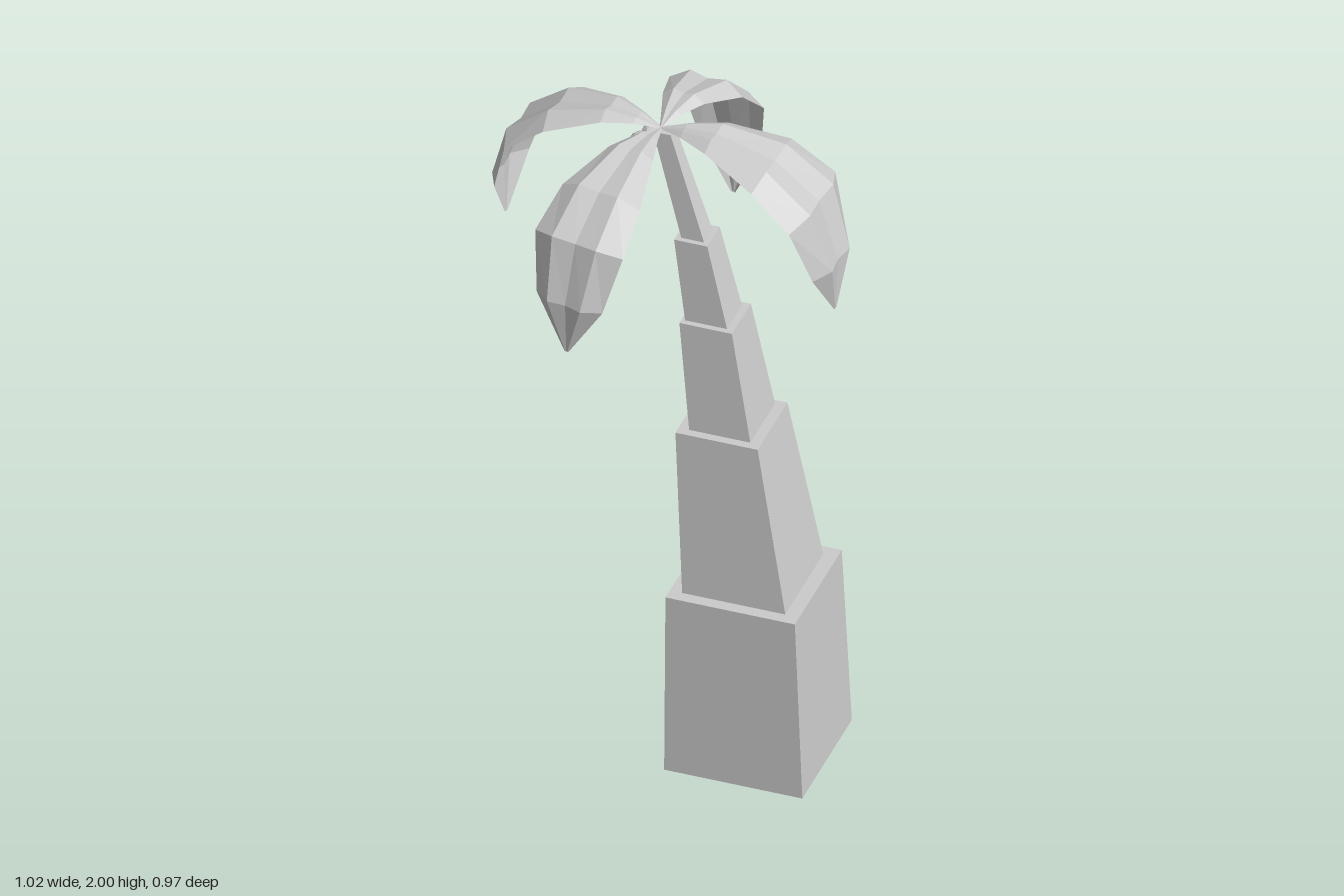
import * as THREE from 'three';

const material = new THREE.MeshStandardMaterial({ color: 0xcccccc, flatShading: true });
const leafMaterial = new THREE.MeshStandardMaterial({ color: 0xcccccc, flatShading: true, side: THREE.DoubleSide });
const CROWN = new THREE.Vector3(-0.02, 1.965, -0.03);

// Tapered block between two rectangles, each [y, xMin, xMax, zMin, zMax]
function trunkBlock(bottom, top) {
  const geometry = new THREE.BoxGeometry(1, 1, 1);
  const p = geometry.attributes.position;
  for (let i = 0; i < p.count; i++) {
    const [y, x0, x1, z0, z1] = p.getY(i) > 0 ? top : bottom;
    p.setXYZ(i, p.getX(i) > 0 ? x1 : x0, y, p.getZ(i) > 0 ? z1 : z0);
  }
  geometry.computeVertexNormals();
  return new THREE.Mesh(geometry, material);
}

// Leaf stations: distance from crown, height above crown, relative half width
const STATIONS = [
  [0, 0, 0.03], [0.07, 0.02, 0.24], [0.16, 0.03, 0.5], [0.33, -0.01, 0.88],
  [0.46, -0.11, 1], [0.515, -0.29, 0.75], [0.5, -0.45, 0.05],
];
// Across the leaf: side position and offset from the spine (drooping edges, shallow midrib)
const ACROSS = [[-1, -0.034], [-0.5, 0], [0, -0.01], [0.5, 0], [1, -0.034]];

function leaf({ angle, width, reach, drop }) {
  const spine = STATIONS.map(([r, h]) => new THREE.Vector2(r * reach, h < 0 ? h * drop : h));
  const positions = [], index = [];
  const n = ACROSS.length;
  STATIONS.forEach(([, , w], i) => {
    const a = spine[Math.max(i - 1, 0)], b = spine[Math.min(i + 1, spine.length - 1)];
    const t = b.clone().sub(a).normalize();
    const depth = Math.min(1, w * 1.3);
    for (const [side, offset] of ACROSS) {
      positions.push(spine[i].x - t.y * offset * depth, spine[i].y + t.x * offset * depth, side * w * width);
    }
    if (i === 0) return;
    for (let j = 0; j < n - 1; j++) {
      const p = (i - 1) * n + j, q = i * n + j;
      index.push(p, p + 1, q, p + 1, q + 1, q);
    }
  });
  const geometry = new THREE.BufferGeometry();
  geometry.setAttribute('position', new THREE.Float32BufferAttribute(positions, 3));
  geometry.setIndex(index);
  geometry.computeVertexNormals();
  const mesh = new THREE.Mesh(geometry, leafMaterial);
  mesh.position.copy(CROWN);
  mesh.rotation.y = angle;
  return mesh;
}

export function createModel() {
  const model = new THREE.Group();
  model.name = 'palmTree';

  // Leaning trunk of stacked, tapering blocks
  const trunk = new THREE.Group();
  trunk.name = 'trunk';
  [
    [[0, 0.06, 0.455, -0.225, 0.165], [0.56, 0.06, 0.43, -0.215, 0.155]],
    [[0.56, 0.095, 0.39, -0.18, 0.12], [1.06, 0.065, 0.3, -0.145, 0.09]],
    [[1.06, 0.095, 0.27, -0.13, 0.065], [1.39, 0.06, 0.21, -0.105, 0.045]],
    [[1.39, 0.07, 0.19, -0.09, 0.028], [1.64, 0.035, 0.13, -0.08, 0.018]],
    [[1.64, 0.05, 0.115, -0.063, 0.003], [1.96, -0.035, 0.015, -0.05, -0.01]],
  ].forEach(([bottom, top], i) => {
    const block = trunkBlock(bottom, top);
    block.name = `trunkBlock${i + 1}`;
    trunk.add(block);
  });
  model.add(trunk);

  // Four drooping leaves around the crown
  const leaves = new THREE.Group();
  leaves.name = 'leaves';
  [
    { name: 'leftLeaf', angle: -0.05, width: 0.16, reach: 1.02, drop: 1.01 },
    { name: 'rightLeaf', angle: Math.PI - 0.14, width: 0.135, reach: 0.945, drop: 0.96 },
    { name: 'frontLeaf', angle: -Math.PI / 2 - 0.19, width: 0.137, reach: 0.995, drop: 0.97 },
    { name: 'backLeaf', angle: Math.PI / 2 - 0.11, width: 0.124, reach: 0.88, drop: 1.09 },
  ].forEach((spec) => {
    const mesh = leaf(spec);
    mesh.name = spec.name;
    leaves.add(mesh);
  });
  model.add(leaves);

  // Small coconuts tucked under the crown
  [[-0.06, 1.9, -0.075], [-0.07, 1.915, -0.01]].forEach(([x, y, z], i) => {
    const coconut = new THREE.Mesh(new THREE.IcosahedronGeometry(0.034, 1), material);
    coconut.name = `coconut${i + 1}`;
    coconut.position.set(x, y, z);
    model.add(coconut);
  });

  return model;
}
